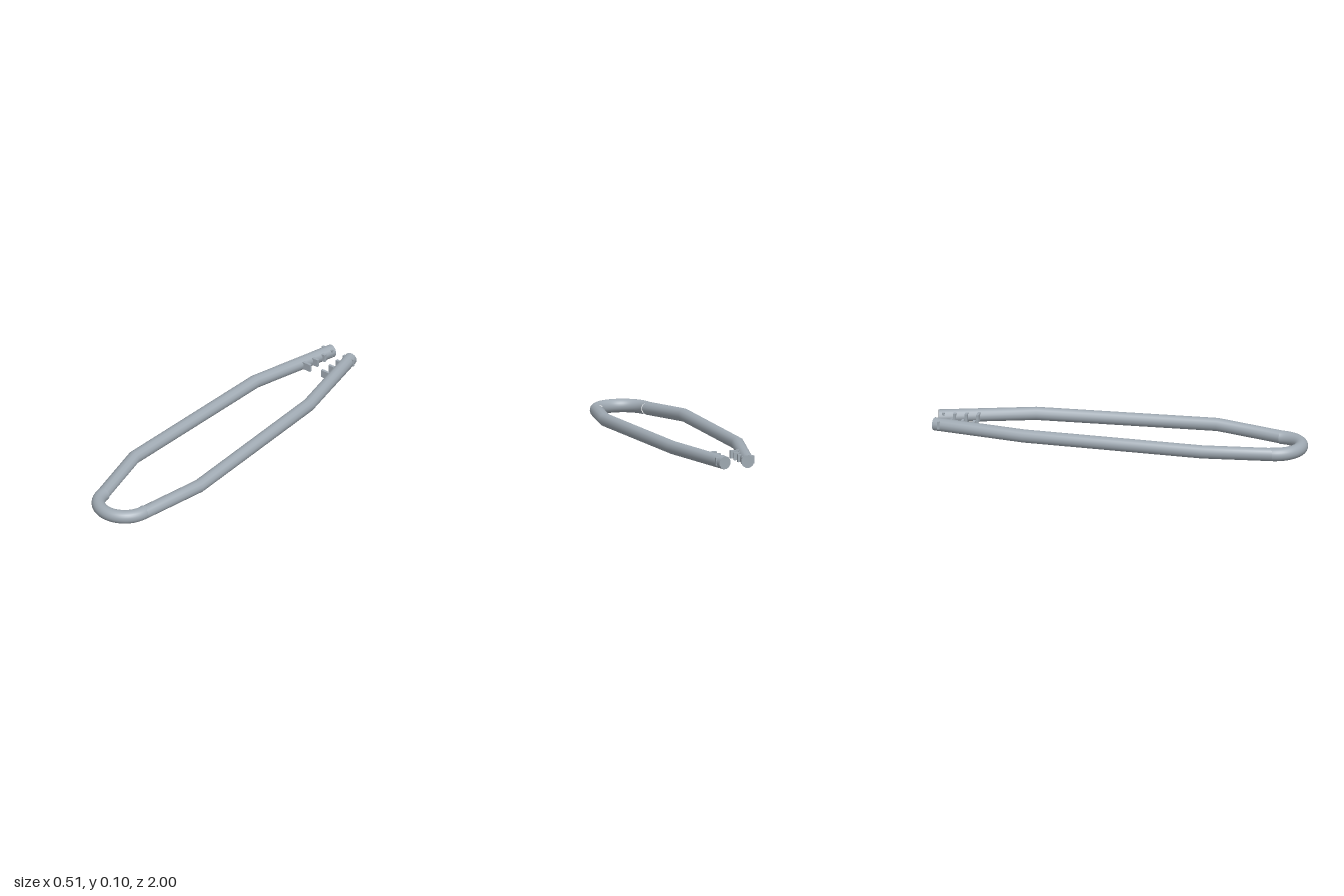
import * as THREE from 'three';

const SIDES = 12;

// Straight-segment rod with mitred bends and flat ends
function bentRod(points, radius) {
  const pos = [], idx = [];
  const dir = (i) => points[i + 1].clone().sub(points[i]).normalize();
  const last = points.length - 1;
  const rings = points.map((p, i) => {
    const t = new THREE.Vector3();
    if (i > 0) t.add(dir(i - 1));
    if (i < last) t.add(dir(i));
    t.normalize();
    const u = new THREE.Vector3(0, 1, 0).cross(t).normalize();
    const v = t.clone().cross(u);
    return Array.from({ length: SIDES }, (_, j) => {
      const a = ((j + 0.5) / SIDES) * Math.PI * 2;
      return p.clone().addScaledVector(u, radius * Math.cos(a)).addScaledVector(v, radius * Math.sin(a));
    });
  });
  rings.forEach((ring) => ring.forEach((p) => pos.push(p.x, p.y, p.z)));
  for (let i = 0; i < last; i++) {
    for (let j = 0; j < SIDES; j++) {
      const k = (j + 1) % SIDES;
      const a = i * SIDES + j, b = i * SIDES + k;
      idx.push(a, b, a + SIDES, b, b + SIDES, a + SIDES);
    }
  }
  // Caps have their own vertices so the rims stay sharp
  [0, last].forEach((i) => {
    const base = pos.length / 3;
    rings[i].forEach((p) => pos.push(p.x, p.y, p.z));
    for (let j = 1; j < SIDES - 1; j++) {
      if (i === 0) idx.push(base, base + j + 1, base + j);
      else idx.push(base, base + j, base + j + 1);
    }
  });
  const g = new THREE.BufferGeometry();
  g.setAttribute('position', new THREE.Float32BufferAttribute(pos, 3));
  g.setIndex(idx);
  g.computeVertexNormals();
  return g;
}

export function createModel() {
  const model = new THREE.Group();
  model.name = 'tongs';
  const steel = new THREE.MeshStandardMaterial({ color: 0xa0aab3 });
  steel.name = 'steel grey';

  const add = (parent, name, geometry) => {
    const mesh = new THREE.Mesh(geometry, steel);
    mesh.name = name;
    parent.add(mesh);
    return mesh;
  };

  // Rounded spring bend joining both arms
  const bend = new THREE.TorusGeometry(0.139, 0.036, 24, 40, Math.PI);
  bend.rotateX(Math.PI / 2);
  add(model, 'springBend', bend).position.set(0, 0.036, 0.825);

  for (const side of [1, -1]) {
    const arm = new THREE.Group();
    arm.name = side > 0 ? 'leftArm' : 'rightArm';
    model.add(arm);

    // Arm, bowed outward at two knees
    const path = [
      [0.141, 0.036, 0.835],
      [0.221, 0.055, 0.475],
      [0.182, 0.067, -0.49],
      [0.063, 0.061, -0.991],
    ].map(([x, y, z]) => new THREE.Vector3(side * x, y, z));
    add(arm, 'armRod', bentRod(path, 0.035));

    // Gripping teeth set across the tip
    for (const z of [-0.963, -0.903, -0.842, -0.78]) {
      add(arm, 'gripTooth', new THREE.BoxGeometry(0.07, 0.042, 0.014))
        .position.set(side * 0.072, 0.066, z);
    }
  }
  return model;
}
